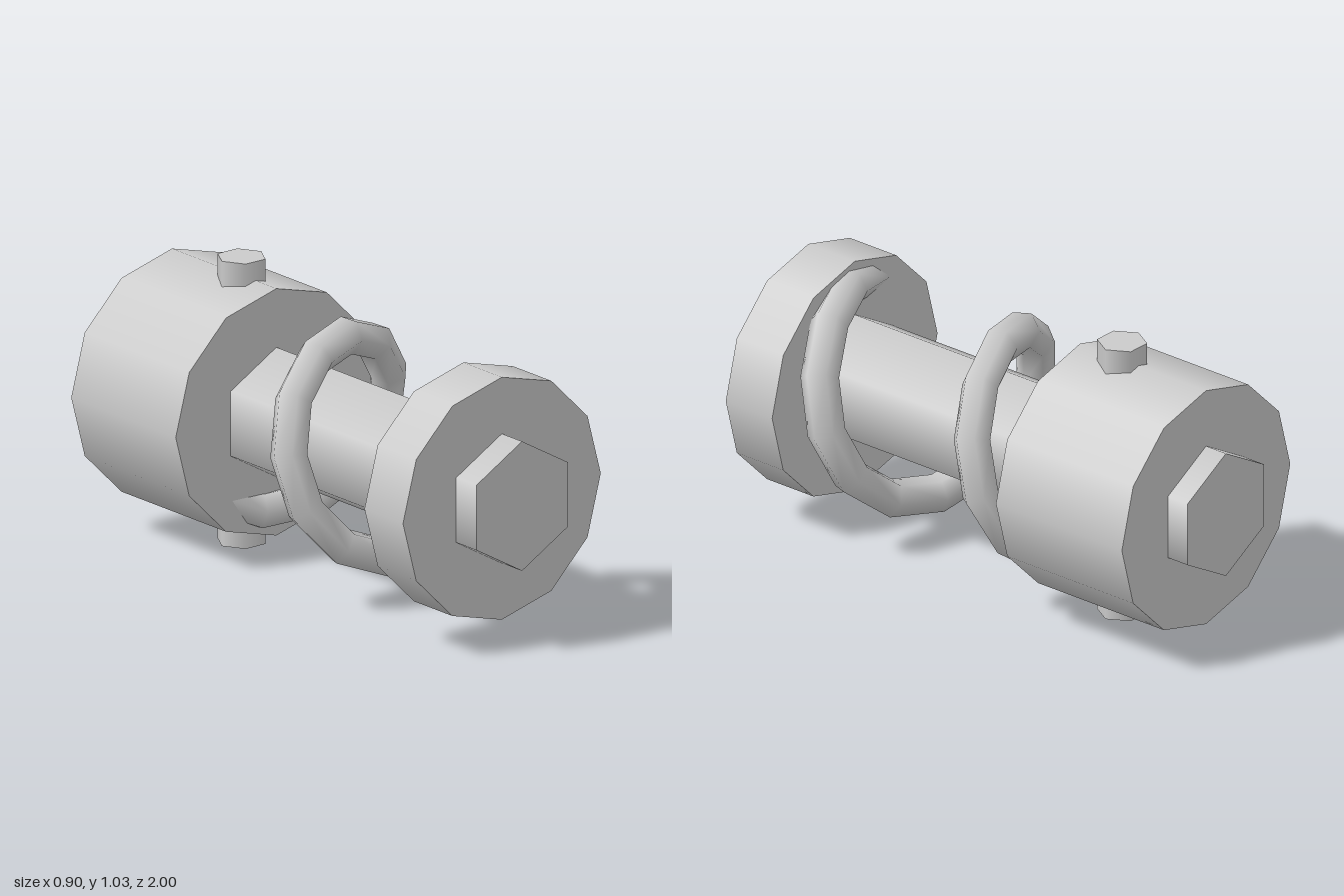
import * as THREE from 'three';

const AXIS_Y = 0.517;
const material = new THREE.MeshStandardMaterial({ color: 0xcccccc });

function addPart(group, name, geometry) {
  const mesh = new THREE.Mesh(geometry, material);
  mesh.name = name;
  group.add(mesh);
}

// Prism lying along z with a corner pointing straight up
function prismZ(radius, sides, zBack, zFront) {
  return new THREE.CylinderGeometry(radius, radius, zFront - zBack, sides)
    .rotateX(-Math.PI / 2)
    .translate(0, AXIS_Y, (zBack + zFront) / 2);
}

// Helix around the shaft, winding along z
class CoilCurve extends THREE.Curve {
  constructor(radius, pitch, zBack, zFront) {
    super();
    Object.assign(this, { radius, pitch, zBack, zFront });
  }
  getPoint(t, target = new THREE.Vector3()) {
    const z = THREE.MathUtils.lerp(this.zBack, this.zFront, t);
    const a = (z / this.pitch) * Math.PI * 2;
    return target.set(-this.radius * Math.sin(a), AXIS_Y + this.radius * Math.cos(a), z);
  }
}

export function createModel() {
  const group = new THREE.Group();
  group.name = 'springShaft';

  // Hexagonal shaft with two twelve-sided collars
  addPart(group, 'shaft', prismZ(0.235, 6, -1, 1));
  addPart(group, 'rearCollar', prismZ(0.448, 12, -0.91, -0.34));
  addPart(group, 'frontCollar', prismZ(0.44, 12, 0.68, 0.89));

  // Cross pin through the rear collar
  const pin = new THREE.CylinderGeometry(0.088, 0.088, 1.034, 6, 1, false, Math.PI / 2)
    .translate(0, 0.517, -0.53);
  addPart(group, 'crossPin', pin);

  // Coil spring, its ends buried in the collars
  const coil = new CoilCurve(0.355, 0.69, -0.42, 0.74);
  addPart(group, 'coilSpring', new THREE.TubeGeometry(coil, 20, 0.068, 6, false));

  return group;
}
